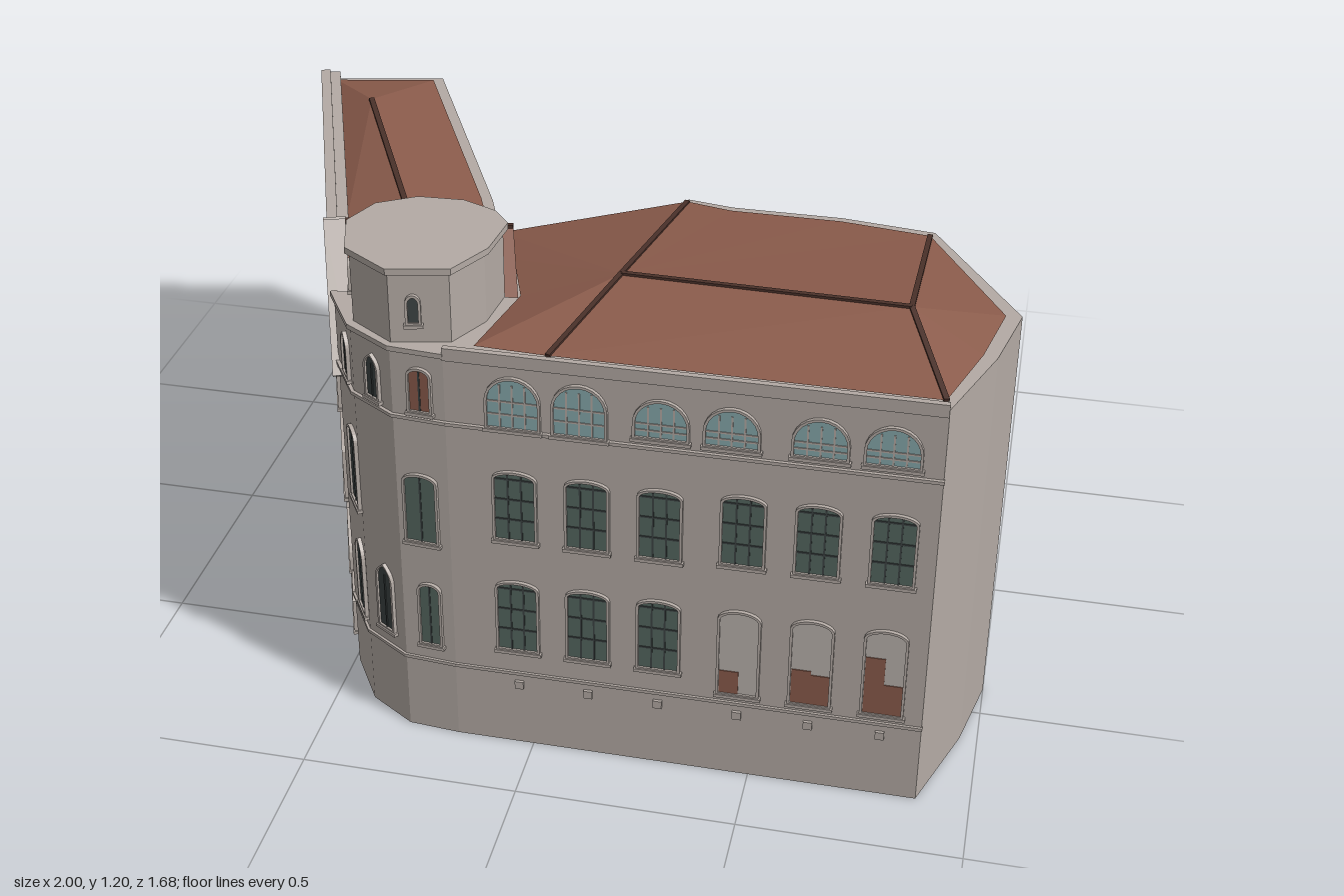
import * as THREE from 'three';

const mat = (name, color, side = THREE.FrontSide) => {
  const m = new THREE.MeshStandardMaterial({ color, side });
  m.name = name;
  return m;
};

export function createModel() {
  const model = new THREE.Group();
  model.name = 'cornerBuilding';
  const wall = mat('stone', 0xb3aaa4, THREE.DoubleSide);
  const roof = mat('roofTile', 0x8a5b4b, THREE.DoubleSide);
  const ridge = mat('ridgeTile', 0x4a312a);
  const green = mat('greenPane', 0x54665f);
  const glass = mat('blueGlass', 0x86a8ab);
  const dark = mat('darkPane', 0x3c4343);
  const pale = mat('palePane', 0xb9b2ac);

  const add = (name, geo, material, parent = model) => {
    const mesh = new THREE.Mesh(geo, material);
    mesh.name = name;
    parent.add(mesh);
    return mesh;
  };

  // Upright prism over a plan outline of [x, z] points
  const prism = (name, plan, y0, y1) => {
    const shape = new THREE.Shape(plan.map(([x, z]) => new THREE.Vector2(x, -z)));
    const geo = new THREE.ExtrudeGeometry(shape, { depth: y1 - y0, bevelEnabled: false });
    return add(name, geo.rotateX(-Math.PI / 2).translate(0, y0, 0), wall);
  };

  // Flat-shaded fan of triangles, always facing upward
  const face = (name, pts, material = roof) => {
    const v = pts.map(p => new THREE.Vector3(...p));
    const out = [];
    for (let i = 1; i < v.length - 1; i++) {
      const n = v[i].clone().sub(v[0]).cross(v[i + 1].clone().sub(v[0]));
      out.push(...(n.y < 0 ? [v[0], v[i + 1], v[i]] : [v[0], v[i], v[i + 1]]));
    }
    const geo = new THREE.BufferGeometry().setFromPoints(out);
    geo.computeVertexNormals();
    add(name, geo, material);
  };

  // Square bar between two points
  const bar = (name, a, b, w, h, material) => {
    const p = new THREE.Vector3(...a), q = new THREE.Vector3(...b);
    const m = add(name, new THREE.BoxGeometry(w, h, p.distanceTo(q)), material);
    m.position.copy(p).lerp(q, 0.5);
    m.lookAt(q);
  };

  // ---- Wall masses
  const corner = [[-0.49, 0.62], [-0.41, 0.75], [-0.3, 0.82], [-0.18, 0.83], [0.88, 0.83]];
  prism('mainBlock', [...corner, [0.96, 0.6], [1, 0.41], [0.78, 0.05], [0.56, 0.02],
    [0.3, 0.02], [0.19, 0], [-0.08, 0.56]], 0, 1.02);
  prism('linkBlock', [[0.19, 0], [-0.23, 0.14], [-0.08, 0.56]], 0, 0.94);
  prism('gableBlock', [[-0.63, 0.21], [-0.23, 0.14], [-0.08, 0.56], [-0.49, 0.62]], 0, 0.85);
  prism('wing', [[-0.99, -0.77], [-0.67, -0.84], [-0.33, -0.12], [-0.23, 0.14], [-0.63, 0.21]], 0, 0.905);

  // ---- Main hipped roof
  const R1 = [0.14, 1.09, 0.53], R2 = [0.77, 1.09, 0.545], e = 1.024;
  const E1 = [0.04, e, 0.8], E2 = [0.87, e, 0.8], E3 = [0.965, e, 0.42];
  const E4 = [0.77, e, 0.075], E5 = [0.19, e, 0.02];
  face('frontSlope', [E1, E2, R2, R1]);
  face('rightSlope', [R2, E2, [0.93, e, 0.6], E3, E4]);
  face('backSlope', [R1, R2, E4, [0.56, e, 0.045], [0.3, e, 0.045], E5]);
  face('leftSlope', [R1, E5, [-0.24, 0.95, 0.13], [-0.15, 1, 0.35], [-0.08, 1.025, 0.56],
    [-0.12, 1.028, 0.8], E1]);
  [[R1, R2], [R1, E1], [R1, E5], [R2, E2], [R2, E4]].forEach(([a, b]) =>
    bar('mainRidge', a, b, 0.012, 0.008, ridge));

  // ---- Gable roof over the block beside the tower
  const G1 = [-0.57, 1.085, 0.41], G2 = [-0.15, 1.085, 0.35];
  face('gableBackSlope', [G1, G2, [-0.24, 0.9, 0.14], [-0.63, 0.87, 0.21]]);
  face('gableFrontSlope', [G1, G2, [-0.08, 0.88, 0.56], [-0.48, 0.84, 0.62]]);
  face('gableEnd', [G2, [-0.24, 0.88, 0.14], [-0.08, 0.88, 0.56]], wall);
  bar('gableRidge', G1, G2, 0.012, 0.008, ridge);

  // ---- Wing roof
  const W1 = [-0.78, 0.96, -0.54], W2 = [-0.46, 0.96, 0.14], w = 0.909;
  const C1 = [-0.955, w, -0.76], C2 = [-0.69, w, -0.815], C3 = [-0.36, w, -0.12];
  const C4 = [-0.255, w, 0.14], C5 = [-0.62, w, 0.2];
  face('wingStreetSlope', [W1, W2, C5, C1]);
  face('wingEndSlope', [W1, C1, C2]);
  face('wingCourtSlope', [W1, C2, C3, W2]);
  face('wingCourtSlopeInner', [W2, C3, C4]);
  face('wingInnerSlope', [W2, C4, C5]);
  bar('wingRidge', W1, W2, 0.014, 0.008, ridge);
  bar('wingInnerRidge', W2, C4, 0.012, 0.008, ridge);

  // ---- Corner tower
  const tower = [[-0.11, 0.56], [-0.12, 0.68], [-0.17, 0.785], [-0.3, 0.815], [-0.41, 0.74],
    [-0.445, 0.62], [-0.41, 0.53], [-0.33, 0.48], [-0.23, 0.475], [-0.15, 0.51]];
  const widen = s => tower.map(([x, z]) => [-0.28 + (x + 0.28) * s, 0.64 + (z - 0.64) * s]);
  prism('tower', widen(0.97), 0.86, 1.185);
  prism('towerCap', widen(1.03), 1.185, 1.2);

  // ---- Facade frames: local x runs along the wall, local z points outward
  const facade = (name, a, b) => {
    const g = new THREE.Group();
    g.name = name;
    g.position.set(a[0], 0, a[1]);
    g.rotation.y = Math.atan2(a[1] - b[1], b[0] - a[0]);
    model.add(g);
    const len = Math.hypot(b[0] - a[0], b[1] - a[1]);
    return { g, len, k: len / (b[0] - a[0]), x0: a[0] };
  };
  const box = (f, name, x, y, sx, sy, sz, material = wall, z = 0) => {
    add(name, new THREE.BoxGeometry(sx, sy, sz), material, f.g).position.set(x, y, z);
  };
  const band = (f, y, h, d) => box(f, 'stringCourse', f.len / 2, y, f.len + 0.004, h, d * 2);

  // Opening outline with a pointed or rounded head
  const outline = (wd, h, rise, pointed, Type = THREE.Shape, grow = 0) => {
    const s = new Type(), r = wd / 2 + grow, top = h - rise;
    s.moveTo(-r, -grow).lineTo(r, -grow).lineTo(r, top);
    if (pointed) {
      s.quadraticCurveTo(r, h - rise * 0.35, 0, h + grow);
      s.quadraticCurveTo(-r, h - rise * 0.35, -r, top);
    } else s.absellipse(0, top, r, rise + grow, 0, Math.PI, false);
    s.closePath();
    return s;
  };

  // Window: thin pane, raised surround, glazing bars and sill. x is the plan x on the wall.
  const win = (f, x, y0, y1, wd, { rise = 0.015, pointed = false, pane = green, bars = 1, rows = 0, barMat = dark } = {}) => {
    const h = y1 - y0, cx = (x - f.x0) * f.k, sub = { g: new THREE.Group() };
    sub.g.name = 'window';
    sub.g.position.set(cx, y0, 0);
    f.g.add(sub.g);
    const opt = { bevelEnabled: false, curveSegments: 6 };
    add('pane', new THREE.ExtrudeGeometry(outline(wd, h, rise, pointed), { ...opt, depth: 0.004 }), pane, sub.g);
    const ring = outline(wd, h, rise, pointed, THREE.Shape, 0.006);
    ring.holes.push(outline(wd, h, rise, pointed, THREE.Path));
    add('surround', new THREE.ExtrudeGeometry(ring, { ...opt, depth: 0.009 }), wall, sub.g);
    for (let i = 1; i <= bars; i++) {
      const bx = wd * (i / (bars + 1) - 0.5);
      const top = h - rise * (pointed ? 0.6 : 0.25);
      box(sub, 'mullion', bx, top / 2, 0.004, top, 0.006, barMat, 0.003);
    }
    for (let i = 1; i <= rows; i++)
      box(sub, 'transom', 0, (h - rise) * i / rows, wd, 0.004, 0.006, barMat, 0.003);
    box(sub, 'sill', 0, -0.008, wd + 0.02, 0.008, 0.024);
  };

  // ---- Main street front
  const front = facade('mainFacade', [-0.18, 0.83], [0.88, 0.83]);
  band(front, 0.2, 0.008, 0.006);
  band(front, 0.848, 0.008, 0.008);
  box(front, 'parapet', front.len / 2, 1.02, front.len, 0.03, 0.014);
  const cols = [-0.03, 0.13, 0.29, 0.47, 0.63, 0.79];
  cols.forEach((x, i) => {
    const right = i > 2;
    win(front, x, right ? 0.58 : 0.57, right ? 0.75 : 0.74, 0.088, { bars: 2, rows: 3 });
    if (right) {
      win(front, x, 0.23, 0.45, 0.085, { rise: 0.02, pane: pale, bars: 0 });
      const ph = [0.06, 0.09, 0.15][i - 3], cx = (x - front.x0) * front.k;
      box(front, 'lowerPanel', cx - 0.02, 0.23 + ph / 2, 0.043, ph, 0.012, roof);
      if (i > 3) box(front, 'lowerPanel', cx + 0.022, 0.27, 0.041, 0.08, 0.012, roof);
    } else win(front, x, 0.27, 0.45, 0.088, { bars: 2, rows: 3 });
    box(front, 'bracket', x - front.x0, 0.168, 0.02, 0.02, 0.014);
  });
  [-0.03, 0.115, 0.29, 0.44, 0.625, 0.775].forEach((x, i) => {
    const low = i < 2 ? 0.857 : 0.875;
    win(front, x, low, i < 2 ? 0.975 : 0.962, 0.11, { rise: 0.055, pane: glass, bars: 3, rows: 2, barMat: wall });
  });

  // ---- Rounded corner below the tower
  const turns = [0, 1, 2].map(i => facade('cornerFacade', corner[i], corner[i + 1]));
  turns.forEach(f => {
    band(f, 0.2, 0.008, 0.006);
    band(f, 0.848, 0.008, 0.008);
    band(f, 1.015, 0.012, 0.008);
  });
  win(turns[0], -0.43, 0.54, 0.73, 0.06, { pane: dark });
  win(turns[0], -0.43, 0.24, 0.43, 0.055, { pane: dark, pointed: true, rise: 0.04 });
  win(turns[0], -0.435, 0.87, 0.97, 0.04, { pane: dark, pointed: true, rise: 0.03 });
  win(turns[1], -0.35, 0.25, 0.42, 0.045, { pane: dark, pointed: true, rise: 0.04 });
  win(turns[1], -0.35, 0.87, 0.97, 0.035, { pane: dark, pointed: true, rise: 0.03 });
  win(turns[2], -0.245, 0.53, 0.7, 0.07, {});
  win(turns[2], -0.235, 0.25, 0.41, 0.045, {});
  win(turns[2], -0.235, 0.87, 0.97, 0.045, { pane: roof });

  // ---- Tower windows
  const drum = widen(0.97);
  win(facade('towerFace', drum[3], drum[2]), -0.25, 1.07, 1.13, 0.022, { pane: dark, bars: 0 });
  win(facade('towerFace', drum[5], drum[4]), -0.425, 1.07, 1.13, 0.022, { pane: dark, bars: 0 });

  // ---- Wing street front, with the gable at its far end
  const street = facade('wingFacade', [-0.99, -0.77], [-0.49, 0.62]);
  const lx = x => (x - street.x0) * street.k;
  const wingLen = lx(-0.635);
  band(street, 0.2, 0.01, 0.006);
  [[0.71, 0.035, 0.03], [0.44, 0.008, 0.012], [0.655, 0.008, 0.014], [0.925, 0.014, 0.026]].forEach(([y, h, d]) =>
    box(street, 'cornice', wingLen / 2, y, wingLen, h, d));
  box(street, 'streetParapet', wingLen / 2, 0.91, wingLen, 0.03, 0.04, wall, -0.02);
  [-0.94, -0.88, -0.82, -0.755, -0.7, -0.65].forEach((x, i) => {
    const pane = i < 3 ? pale : dark;
    win(street, x, 0.74, 0.86, 0.09, { pointed: true, rise: 0.06, pane: dark, barMat: wall });
    win(street, x, 0.48, 0.63, 0.085, { pane, bars: i < 3 ? 2 : 1, barMat: i < 3 ? dark : wall });
    win(street, x, 0.24, 0.4, 0.085, { pane, pointed: i > 2, rise: i > 2 ? 0.05 : 0.015, bars: i < 3 ? 2 : 1, barMat: i < 3 ? dark : wall });
  });
  [-0.745, -0.695, -0.645].forEach((x, i) =>
    win(street, x, 0.012, 0.15, 0.09, { pointed: true, rise: 0.06, pane: i === 1 ? dark : pale, bars: i === 1 ? 1 : 0 }));

  // Gable wall with stepped coping
  const a = lx(-0.63), b = lx(-0.48), mid = (a + b) / 2;
  const tri = new THREE.Shape([[a, 0.82], [b, 0.82], [mid, 1.1]].map(p => new THREE.Vector2(...p)));
  add('gableWall', new THREE.ExtrudeGeometry(tri, { depth: 0.03, bevelEnabled: false }), wall, street.g).position.z = -0.025;
  [[a, 1], [b, -1]].forEach(([x, s]) => {
    const run = mid - x, m = add('gableCoping', new THREE.BoxGeometry(Math.hypot(run, 0.28), 0.014, 0.05), wall, street.g);
    m.position.set((x + mid) / 2, 0.96, -0.01);
    m.rotation.z = s * Math.atan2(0.28, Math.abs(run));
  });
  win(street, -0.555, 0.88, 0.97, 0.08, { pointed: true, rise: 0.05, pane: dark });
  win(street, -0.555, 0.67, 0.78, 0.2, { pane: pale, bars: 3 });
  win(street, -0.555, 0.42, 0.56, 0.2, { pane: pale, bars: 3 });
  win(street, -0.555, 0.21, 0.31, 0.2, { pointed: true, rise: 0.07, pane: dark, bars: 3, barMat: wall });
  win(street, -0.56, 0.03, 0.13, 0.24, { pane: pale, bars: 4, rows: 1 });

  return model;
}
